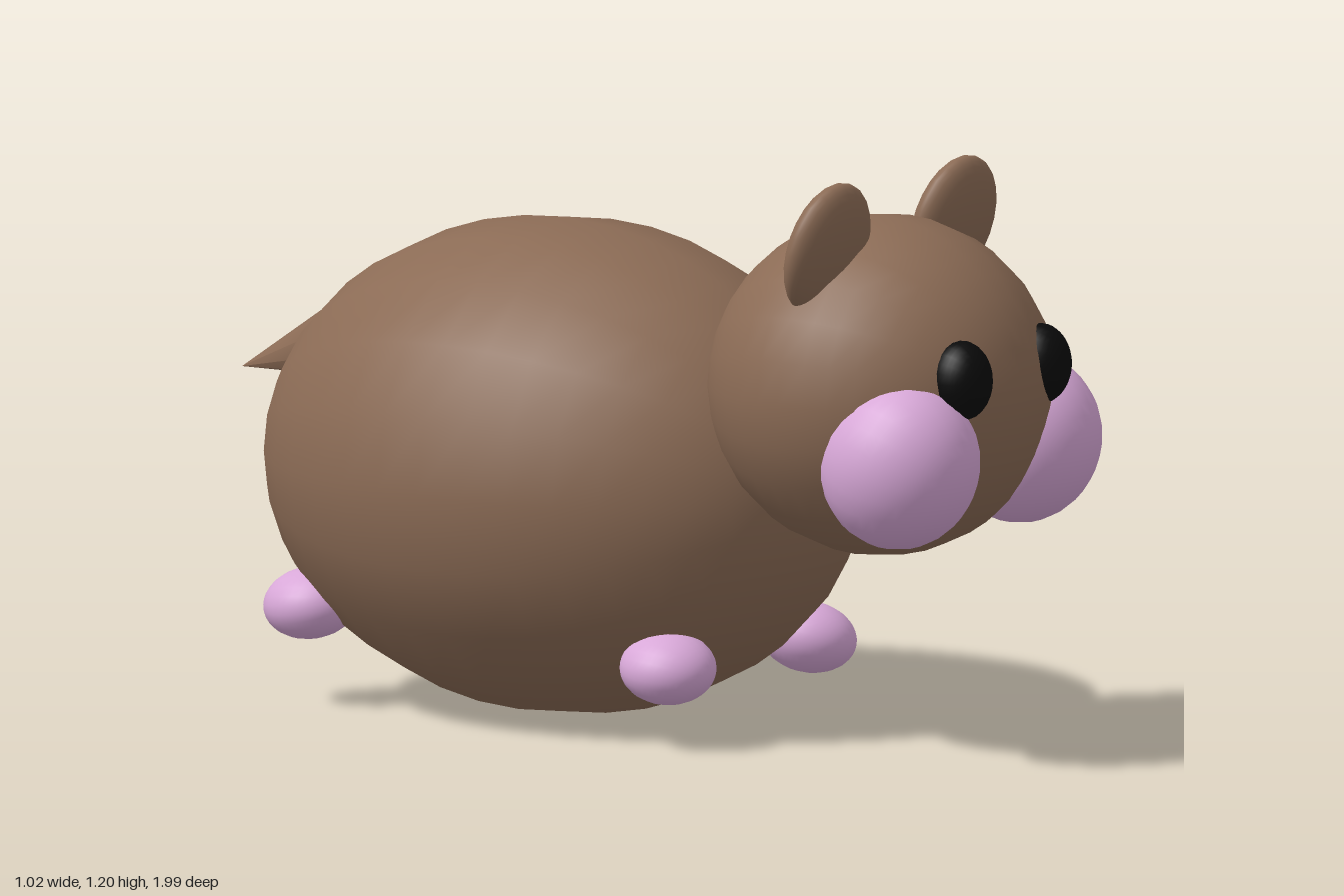
import * as THREE from 'three';

export function createModel() {
  const model = new THREE.Group();
  const brown = new THREE.MeshStandardMaterial({ color: 0x8b6b55 });
  const pink = new THREE.MeshStandardMaterial({ color: 0xd8a8d8 });
  const black = new THREE.MeshStandardMaterial({ color: 0x0a0a0a });

  // Smooth ellipsoid with its poles along z
  function ellipsoid(name, material, center, radii, rotation = [0, 0, 0], segments = 24) {
    const geometry = new THREE.SphereGeometry(1, segments, 20);
    geometry.rotateX(Math.PI / 2);
    geometry.scale(...radii);
    const mesh = new THREE.Mesh(geometry, material);
    mesh.name = name;
    mesh.position.set(...center);
    mesh.rotation.set(...rotation);
    model.add(mesh);
  }

  // Body and head
  ellipsoid('body', brown, [0, 0.51, -0.18], [0.51, 0.51, 0.665], [0, 0, 0], 20);
  ellipsoid('head', brown, [0, 0.755, 0.625], [0.358, 0.35, 0.355]);

  // Paired parts, mirrored in x
  for (const [side, s] of [['left', 1], ['right', -1]]) {
    ellipsoid(side + 'Ear', brown, [s * 0.215, 1.065, 0.645], [0.125, 0.143, 0.05], [0.25, 0, 0]);
    ellipsoid(side + 'Eye', black, [s * 0.135, 0.81, 0.925], [0.066, 0.083, 0.065], [0, s * 0.2, 0]);
    ellipsoid(side + 'Cheek', pink, [s * 0.208, 0.638, 0.825], [0.16, 0.177, 0.165], [0.3, 0, 0]);
    ellipsoid(side + 'FrontFoot', pink, [s * 0.24, 0.165, 0.26], [0.097, 0.073, 0.1], [0.1, 0, s * -0.15]);
    ellipsoid(side + 'BackFoot', pink, [s * 0.24, 0.21, -0.645], [0.097, 0.073, 0.1], [-0.1, 0, s * -0.15]);
  }

  // Pointed tail, running from inside the rump back to its tip
  const tip = new THREE.Vector3(0, 0.63, -1);
  const base = new THREE.Vector3(0, 0.745, -0.637);
  const axis = tip.clone().sub(base);
  const tail = new THREE.Mesh(new THREE.ConeGeometry(0.113, axis.length(), 10), brown);
  tail.name = 'tail';
  tail.position.copy(base).add(tip).multiplyScalar(0.5);
  tail.quaternion.setFromUnitVectors(new THREE.Vector3(0, 1, 0), axis.normalize());
  model.add(tail);

  return model;
}
